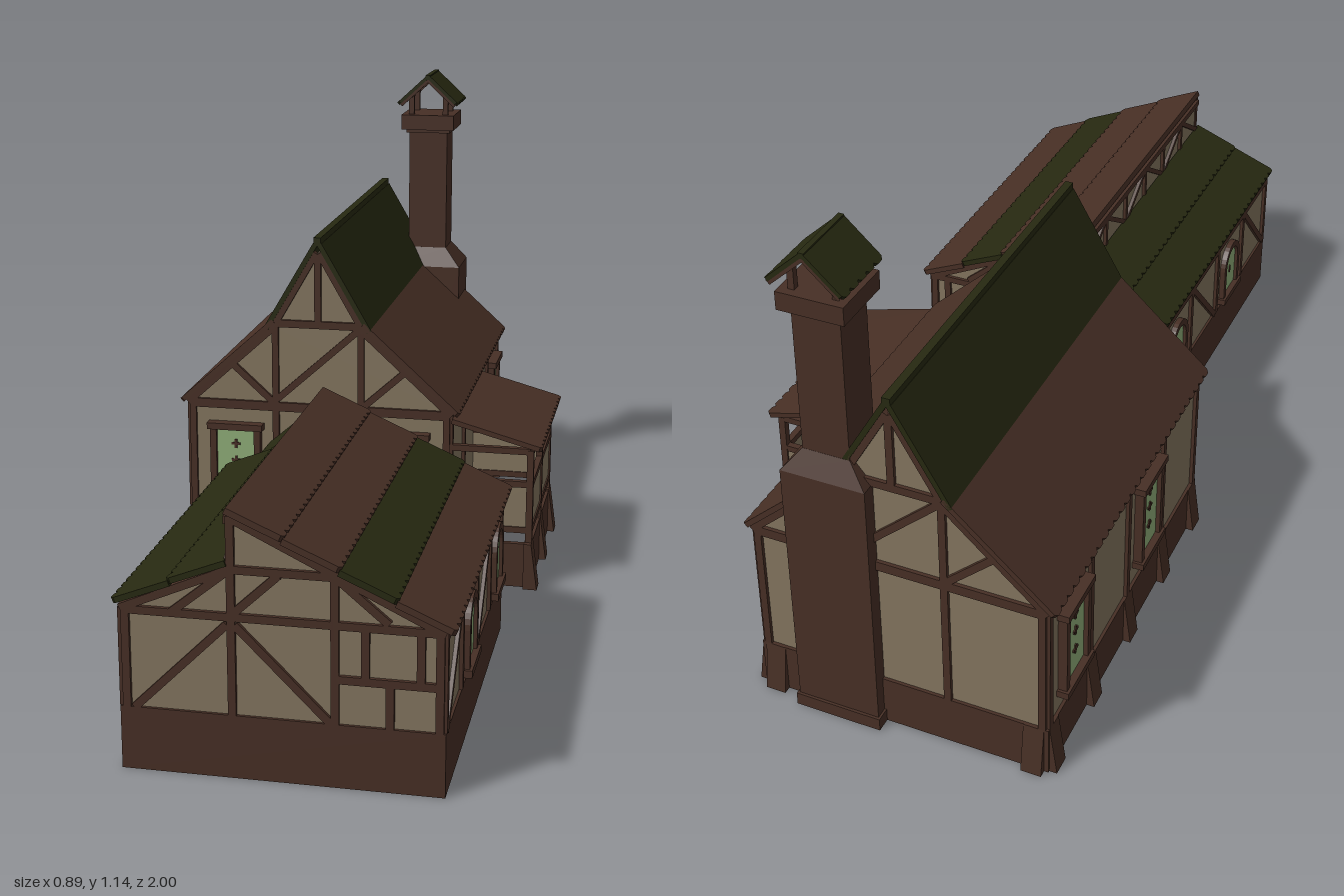
import * as THREE from 'three';

const mat = (name, color) => Object.assign(new THREE.MeshStandardMaterial({ color }), { name });
const timber = mat('timber brown', 0x472f25);
const plaster = mat('plaster', 0x83755f);
const moss = mat('moss green roof', 0x272911);
const glass = mat('green glass', 0x8fae78);

function add(parent, name, geo, material, x = 0, y = 0, z = 0) {
  const m = new THREE.Mesh(geo, material);
  m.name = name;
  m.position.set(x, y, z);
  parent.add(m);
  return m;
}
const box = (parent, name, material, w, h, d, x, y, z) =>
  add(parent, name, new THREE.BoxGeometry(w, h, d), material, x, y, z);
const group = (parent, name, x = 0, y = 0, z = 0, ry = 0) => {
  const g = new THREE.Group();
  g.name = name;
  g.position.set(x, y, z);
  g.rotation.y = ry;
  parent.add(g);
  return g;
};
const outline = pts => new THREE.Shape(pts.map(p => new THREE.Vector2(...p)));
const extrude = (shape, depth) => new THREE.ExtrudeGeometry(shape, { depth, bevelEnabled: false, curveSegments: 8 });

// straight timber lying on a wall (local x/y plane)
function beam(wall, x1, y1, x2, y2, w = 0.016, d = 0.016) {
  const m = box(wall, 'timberBeam', timber, Math.hypot(x2 - x1, y2 - y1), w, d, (x1 + x2) / 2, (y1 + y2) / 2, 0);
  m.rotation.z = Math.atan2(y2 - y1, x2 - x1);
}

// roof slab from an upper to a lower point, with a scalloped lower edge
function roofSlab(parent, material, [x1, y1], [x2, y2], len, zMid = 0, t = 0.012) {
  const L = Math.hypot(x2 - x1, y2 - y1) - 0.007, n = Math.round(len / 0.03), p = len / n;
  const pts = [[0, -len / 2]];
  for (let i = 0; i < n; i++) {
    const u = -len / 2 + i * p;
    pts.push([L, u], [L + 0.007, u + p * 0.25], [L + 0.007, u + p * 0.75]);
  }
  pts.push([L, len / 2], [0, len / 2]);
  const dir = new THREE.Vector3(x2 - x1, y2 - y1, 0).normalize();
  const along = new THREE.Vector3(0, 0, -Math.sign(x2 - x1));
  const basis = new THREE.Matrix4().makeBasis(dir, along, dir.clone().cross(along));
  add(parent, 'roofSlab', extrude(outline(pts), t).applyMatrix4(basis), material, x1, y1, zMid);
}

// flared foot standing against a wall
function buttress(wall, u) {
  const g = extrude(outline([[-0.01, 0], [0.024, 0], [0.008, 0.115], [-0.01, 0.115]]), 0.045);
  add(wall, 'buttress', g.translate(0, 0, -0.0225).rotateY(-Math.PI / 2), timber, u, 0, 0);
}

// tall framed window with three small crosses
function tallWindow(wall, u) {
  const g = group(wall, 'window', u, 0, 0);
  box(g, 'windowGlass', glass, 0.1, 0.2, 0.008, 0, 0.265, 0.006);
  for (const s of [-1, 1]) {
    box(g, 'windowJamb', timber, 0.016, 0.21, 0.03, s * 0.055, 0.265, 0.005);
    box(g, 'windowLedge', timber, 0.138, 0.016, 0.044, 0, 0.265 + s * 0.102, 0.004);
  }
  for (const y of [0.23, 0.28, 0.322]) {
    box(g, 'windowCross', timber, 0.022, 0.006, 0.004, 0, y, 0.011);
    box(g, 'windowCross', timber, 0.006, 0.022, 0.004, 0, y, 0.011);
  }
}

const arch = (C, r, y0, y1) => {
  const s = new C();
  s.moveTo(-r, y0);
  s.lineTo(r, y0);
  s.lineTo(r, y1);
  s.absarc(0, y1, r, 0, Math.PI, false);
  s.lineTo(-r, y0);
  return s;
};
function archWindow(wall, u) {
  const g = group(wall, 'archedWindow', u, 0, 0);
  const frame = arch(THREE.Shape, 0.06, 0.135, 0.232);
  frame.holes.push(arch(THREE.Path, 0.044, 0.15, 0.232));
  add(g, 'archFrame', extrude(frame, 0.018), timber, 0, 0, -0.004);
  add(g, 'archGlass', extrude(arch(THREE.Shape, 0.046, 0.145, 0.232), 0.006), glass);
  box(g, 'archSill', timber, 0.134, 0.016, 0.034, 0, 0.142, 0.003);
  box(g, 'windowCross', timber, 0.006, 0.02, 0.003, 0, 0.21, 0.007);
}

// four wall frames facing front, right (+x), back, left (-x)
function wallFrames(parent, x0, x1, hz) {
  const xm = (x0 + x1) / 2;
  return [
    group(parent, 'frontWall', xm, 0, hz, 0), group(parent, 'sideWall', x1, 0, 0, Math.PI / 2),
    group(parent, 'backWall', xm, 0, -hz, Math.PI), group(parent, 'sideWall', x0, 0, 0, -Math.PI / 2)];
}

function buildHouse(root) {
  const h = group(root, 'house', -0.105, 0, -0.525);
  const W = 0.32, D = 0.43;
  add(h, 'plasterWalls', extrude(outline([[-W, 0.012], [W, 0.012], [W, 0.425], [0.11, 0.618], [0, 0.805],
    [-0.11, 0.618], [-W, 0.425]]), 2 * D), plaster, 0, 0, -D);
  const walls = wallFrames(h, -W, W, D);
  walls.forEach((w, i) => {
    const half = i % 2 ? D : W;
    box(w, 'baseSkirt', timber, 2 * half + 0.014, 0.115, 0.014, 0, 0.0575, 0);
    beam(w, -half, 0.42, half, 0.42, 0.022);
    for (const u of i % 2 ? [-0.41, -0.21, 0, 0.21, 0.41] : [-0.295, 0.295]) buttress(w, u);
    if (i % 2) for (const u of [-0.423, -0.21, 0, 0.21, 0.423]) beam(w, u, 0.115, u, 0.42);
    else {
      beam(w, -0.12, 0.628, 0.12, 0.628, 0.018);
      beam(w, 0, 0.628, 0, 0.8);
      beam(w, -0.1, 0.44, 0.1, 0.62);
      for (const s of [-1, 1]) {
        beam(w, s * 0.313, 0.115, s * 0.313, 0.42);
        beam(w, s * 0.105, 0.115, s * 0.105, 0.62);
        beam(w, s * 0.11, 0.43, s * 0.215, 0.525);
        beam(w, s * 0.325, 0.42, s * 0.112, 0.614);
        beam(w, s * 0.115, 0.61, s * 0.004, 0.803);
      }
    }
  });
  for (const u of [-0.205, 0.205]) tallWindow(walls[0], u);
  tallWindow(walls[1], 0.31);
  for (const u of [-0.31, 0.11]) tallWindow(walls[3], u);
  box(walls[0], 'frontDoor', timber, 0.13, 0.25, 0.02, 0, 0.24, 0);
  // two-pitch roof
  for (const s of [-1, 1]) {
    roofSlab(h, timber, [s * 0.105, 0.629], [s * 0.338, 0.418], 0.88);
    roofSlab(h, moss, [0, 0.821], [s * 0.124, 0.608], 0.88);
  }
  box(h, 'roofRidge', moss, 0.018, 0.02, 0.88, 0, 0.831, 0);
  return h;
}

function buildEntry(h) {
  // gabled canopy and steps at the front door
  const e = group(h, 'entryPorch', 0, 0, 0.43);
  for (const s of [-1, 1]) {
    roofSlab(e, moss, [0, 0.416], [s * 0.115, 0.318], 0.17, 0.09);
    box(e, 'entryPost', timber, 0.014, 0.335, 0.014, s * 0.085, 0.1675, 0.162);
    box(e, 'entryPlate', timber, 0.014, 0.014, 0.165, s * 0.085, 0.335, 0.085);
    add(e, 'stepStringer', extrude(outline([[0, 0], [-0.16, 0], [-0.16, 0.015], [0, 0.12]]), 0.012)
      .rotateY(Math.PI / 2).scale(1, 1, 1), timber, s * 0.08 - 0.006, 0, 0);
    const front = group(e, 'entryGable', 0, 0, 0.162);
    beam(front, 0, 0.408, s * 0.1, 0.324, 0.014, 0.014);
  }
  box(e, 'entryTie', timber, 0.18, 0.014, 0.014, 0, 0.335, 0.162);
  box(e, 'entryRidge', moss, 0.018, 0.014, 0.17, 0, 0.422, 0.09);
  for (let i = 0; i < 4; i++) box(e, 'stepTread', timber, 0.16, 0.012, 0.042, 0, 0.015 + i * 0.028, 0.14 - i * 0.037);
}

function buildSidePorch(h) {
  const p = group(h, 'sidePorch', 0.32, 0, 0.215);
  const X = 0.195, Z = 0.21;
  roofSlab(p, timber, [0.005, 0.405], [0.222, 0.346], 0.46, 0);
  const sides = [[0, Z, 0, X / 2, X], [X, 0, Math.PI / 2, 0, 2 * Z], [0, -Z, 0, X / 2, X]];
  for (const [x, z, ry, c, len] of sides) {
    const s = group(p, 'porchSide', x, 0, z, ry);
    box(s, 'porchBase', timber, len, 0.11, 0.014, c, 0.055, 0);
    box(s, 'porchPanel', plaster, len, 0.11, 0.008, c, 0.2, 0);
    for (const y of [0.145, 0.26, 0.342]) box(s, 'porchRail', timber, len, 0.015, 0.015, c, y, 0);
    if (ry) for (const u of [-Z, 0, Z]) {
      beam(s, u, 0.1, u, 0.345);
      buttress(s, u);
    }
  }
}

function buildChimney(root) {
  const c = group(root, 'chimney', 0.031, 0, -0.915);
  box(c, 'chimneyFoot', timber, 0.195, 0.03, 0.16, 0, 0.015, 0);
  box(c, 'chimneyBase', timber, 0.185, 0.62, 0.148, 0, 0.31, 0);
  const shoulder = new THREE.BoxGeometry(0.185, 0.05, 0.148);
  const pos = shoulder.attributes.position;
  for (let i = 0; i < pos.count; i++) if (pos.getY(i) > 0) pos.setXYZ(i, pos.getX(i) * 0.56, 0.025, pos.getZ(i) * 0.68);
  shoulder.computeVertexNormals();
  add(c, 'chimneyShoulder', shoulder, timber, 0, 0.645, 0);
  box(c, 'chimneyShaft', timber, 0.103, 0.34, 0.1, 0, 0.83, 0);
  box(c, 'chimneyCollar', timber, 0.118, 0.012, 0.114, 0, 0.992, 0);
  box(c, 'chimneyCap', timber, 0.142, 0.04, 0.14, 0, 1.015, 0);
  // small roofed hood
  for (const s of [-1, 1]) {
    roofSlab(c, moss, [0, 1.132], [s * 0.078, 1.06], 0.152, -0.009, 0.009);
    for (const z of [-0.045, 0.045]) box(c, 'hoodPost', timber, 0.014, 0.065, 0.014, s * 0.046, 1.06, z);
    for (const z of [-0.078, 0.06]) beam(group(c, 'hoodRafter', 0, 0, z), 0, 1.13, s * 0.074, 1.062, 0.012, 0.012);
  }
  box(c, 'hoodRidge', moss, 0.012, 0.012, 0.152, 0, 1.136, -0.009);
}

function buildAnnex(root) {
  const a = group(root, 'annex', 0, 0, 0.58);
  const x0 = -0.248, x1 = 0.372, D = 0.408, xm = (x0 + x1) / 2;
  add(a, 'plasterWalls', extrude(outline([[x0, 0.006], [x1, 0.006], [x1, 0.333], [-0.038, 0.532], [-0.038, 0.428],
    [x0, 0.335]]), 2 * D), plaster, 0, 0, -D);
  for (const z of [-0.14, 0.14]) box(a, 'floorBeam', timber, x1 - x0, 0.012, 0.016, xm, 0.007, z);
  const gable = [
    [-0.24, 0.13, -0.24, 0.33], [-0.032, 0.13, -0.032, 0.53], [0.167, 0.13, 0.167, 0.43], [0.366, 0.13, 0.366, 0.33],
    [-0.24, 0.33, 0.37, 0.33], [-0.035, 0.425, 0.17, 0.425], [-0.225, 0.13, -0.04, 0.315], [-0.025, 0.315, 0.16, 0.13],
    [-0.25, 0.332, -0.035, 0.425], [-0.035, 0.528, 0.376, 0.328], [-0.15, 0.33, -0.04, 0.42],
    [-0.025, 0.34, 0.06, 0.42], [0.175, 0.42, 0.27, 0.34],
    [0.167, 0.222, 0.366, 0.222], [0.225, 0.222, 0.225, 0.33], [0.33, 0.222, 0.33, 0.33], [0.272, 0.13, 0.272, 0.222]];
  wallFrames(a, x0, x1, D).forEach((w, i) => {
    const half = i % 2 ? D : (x1 - x0) / 2;
    box(w, 'baseSkirt', timber, 2 * half + 0.012, 0.13, 0.012, 0, 0.065, 0);
    if (i % 2 === 0) {
      const s = i ? -1 : 1;
      for (const [ax, ay, bx, by] of gable) beam(w, s * (ax - xm), ay, s * (bx - xm), by);
      return;
    }
    const s = i === 1 ? 1 : -1;
    beam(w, -half, 0.323, half, 0.323, 0.018);
    for (const u of [-0.402, -0.205, 0, 0.205, 0.402]) beam(w, u, 0.13, u, 0.33);
    for (const c of [-0.41, 0]) {
      beam(w, s * (c + 0.01), 0.13, s * (c + 0.195), 0.315);
    }
    for (const z of [0.1, -0.31]) archWindow(w, -s * z);
  });
  // raised strip of wall between the two roofs
  const strip = group(a, 'upperStrip', -0.038, 0, 0, -Math.PI / 2);
  beam(strip, -D, 0.52, D, 0.52);
  for (let i = 0; i < 6; i++) {
    const u = -D + i * D / 3, up = i % 2;
    beam(strip, u, up ? 0.52 : 0.435, u + D / 3, up ? 0.435 : 0.52, 0.012);
    beam(strip, u, 0.43, u, 0.525, 0.012);
  }
  // shingle courses
  [timber, timber, moss, timber].forEach((m, i) => {
    const x = -0.043 + i * 0.108, y = 0.536 - i * 0.0527;
    roofSlab(a, m, [x, y], [x + 0.112, y - 0.049], 0.84, 0, 0.013);
  });
  for (let i = 0; i < 2; i++) {
    const x = -0.038 - i * 0.11, y = 0.433 - i * 0.048;
    roofSlab(a, moss, [x, y], [x - 0.114, y - 0.045], 0.84, 0, 0.012);
  }
}

export function createModel() {
  const root = new THREE.Group();
  root.name = 'timberCottage';
  const house = buildHouse(root);
  buildEntry(house);
  buildSidePorch(house);
  buildChimney(root);
  buildAnnex(root);
  return root;
}
